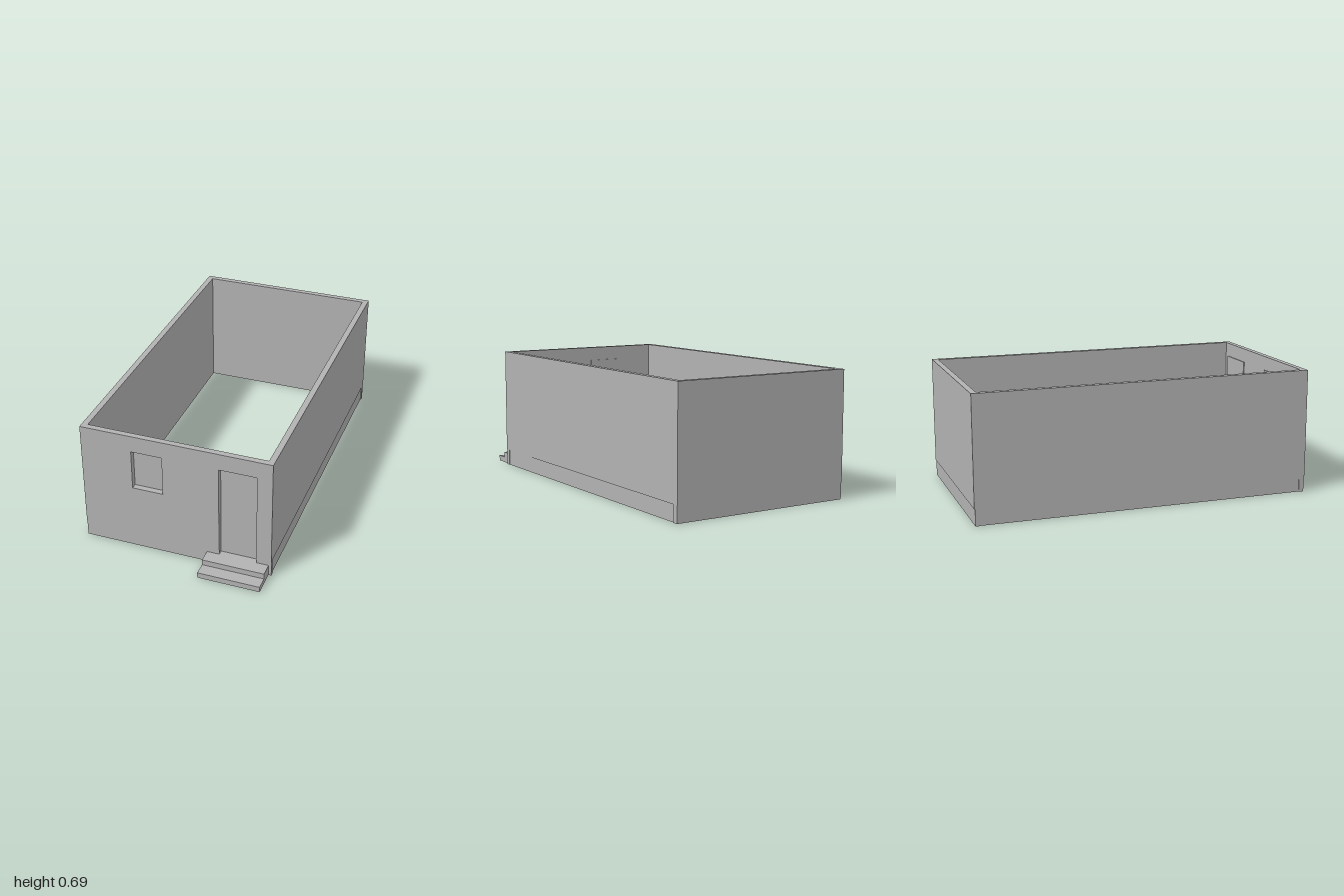
import * as THREE from 'three';

const H = 0.685, T = 0.032, GAP = 0.004, PLINTH = 0.09; // wall height, thickness, base inset, base height
const X = 0.515, BACK = -1, FRONT = 0.862;
const inX = X - T, inBack = BACK + T, inFront = FRONT - T;

const poly = (points) => new THREE.Shape(points.map(([x, y]) => new THREE.Vector2(x, y)));
const rect = (x0, x1, y0, y1) => poly([[x0, y0], [x1, y0], [x1, y1], [x0, y1]]);
const extrude = (shape, depth) => new THREE.ExtrudeGeometry(shape, { depth, bevelEnabled: false });

export function createModel() {
  const group = new THREE.Group();
  const grey = new THREE.MeshStandardMaterial({ color: 0xb2b2b2 });
  grey.name = 'plainGrey';

  function add(name, geometry, x, y, z, turn = 0) {
    const mesh = new THREE.Mesh(geometry, grey);
    mesh.name = name;
    mesh.position.set(x, y, z);
    mesh.rotation.y = turn;
    group.add(mesh);
  }

  // Side and back walls: a section with a slightly inset base, swept along the wall
  const section = poly([[0, 0], [T - GAP, 0], [T - GAP, PLINTH], [T, PLINTH], [T, H], [0, H]]);
  const length = inFront - inBack;
  add('leftWall', extrude(section, length), inX, 0, inBack);
  add('rightWall', extrude(section, length), -inX, 0, inFront, Math.PI);
  add('backWall', extrude(section, 2 * X), -X, 0, inBack, Math.PI / 2);

  // Front wall with window and door openings
  const win = [-0.237, -0.07, 0.371, 0.593];
  const door = [0.233, 0.434, 0.062, 0.593];
  const wall = rect(-X, X, 0, H);
  wall.holes.push(rect(...win), rect(...door));
  add('frontWall', extrude(wall, T - GAP), 0, 0, inFront);

  // Outer skin of the front wall, stopping above the inset base
  const skin = poly([
    [-X, PLINTH], [door[0], PLINTH], [door[0], door[3]], [door[1], door[3]],
    [door[1], PLINTH], [X, PLINTH], [X, H], [-X, H],
  ]);
  skin.holes.push(rect(...win));
  add('frontWallSkin', extrude(skin, GAP), 0, 0, FRONT - GAP);

  // Thin panels closing the openings from inside
  const m = 0.013, thick = 0.006;
  for (const [name, [x0, x1, y0, y1]] of [['windowPanel', win], ['doorPanel', door]]) {
    add(name, extrude(rect(x0 - m, x1 + m, y0 - m, y1 + m), thick), 0, 0, inFront - thick);
  }

  // Two entrance steps
  const steps = poly([[0, 0], [0.142, 0], [0.142, 0.031], [0.073, 0.031], [0.073, 0.062], [0, 0.062]]);
  add('entranceSteps', extrude(steps, 0.335), 0.5, 0, FRONT - GAP, -Math.PI / 2);

  return group;
}
